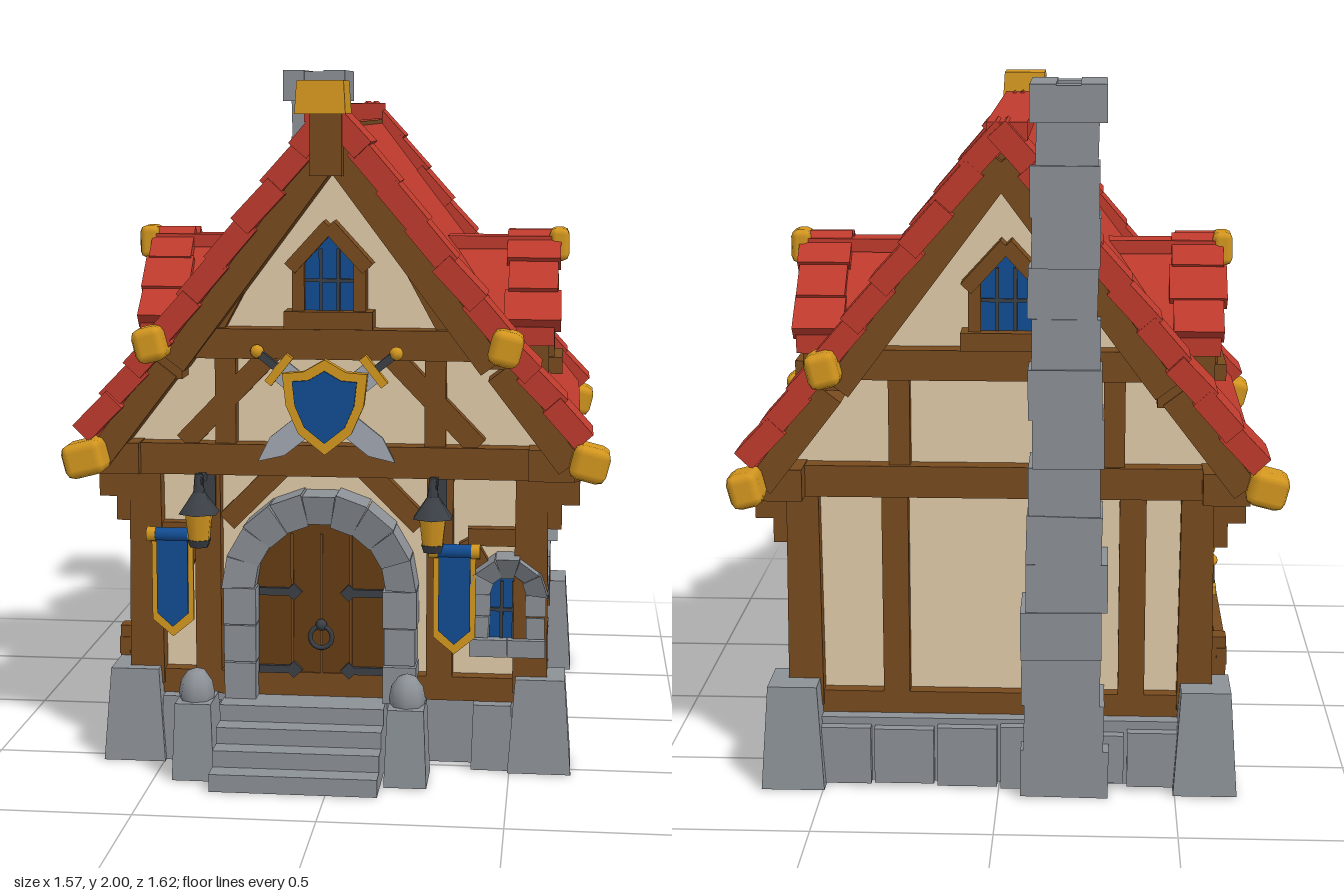
import * as THREE from 'three';
import { RoundedBoxGeometry } from 'three/addons/geometries/RoundedBoxGeometry.js';

const mat = (name, color) => Object.assign(new THREE.MeshStandardMaterial({ color }), { name });
const RED = mat('roof red', 0xbf3b2d), WOOD = mat('timber brown', 0x774a1e), DOOR = mat('door brown', 0x643c14),
  CREAM = mat('plaster cream', 0xe0cba9), STONE = mat('stone grey', 0x8c9197), BLUE = mat('blue', 0x124d94),
  GOLD = mat('gold', 0xd4971f), IRON = mat('dark iron', 0x3b4046), STEEL = mat('steel', 0xa3a9b2);

let seed = 7;
const rnd = (a) => { seed = (seed * 16807) % 2147483647; return (seed / 2147483647 - 0.5) * 2 * a; };

function add(p, name, geo, m, x = 0, y = 0, z = 0, rz = 0, rx = 0) {
  const o = new THREE.Mesh(geo, m);
  o.name = name;
  o.position.set(x, y, z);
  o.rotation.set(rx, 0, rz);
  p.add(o);
  return o;
}
function group(p, name, x = 0, y = 0, z = 0, ry = 0) {
  const g = new THREE.Group();
  g.name = name;
  g.position.set(x, y, z);
  g.rotation.y = ry;
  p.add(g);
  return g;
}
const box = (p, name, m, w, h, d, x, y, z, rz = 0, rx = 0) =>
  add(p, name, new THREE.BoxGeometry(w, h, d), m, x, y, z, rz, rx);

// Box whose top is narrowed
function taper(p, name, m, w, h, d, x, y, z, k, rz = 0) {
  const g = new THREE.BoxGeometry(w, h, d), a = g.attributes.position;
  for (let i = 0; i < a.count; i++) if (a.getY(i) > 0) { a.setX(i, a.getX(i) * k); a.setZ(i, a.getZ(i) * k); }
  g.computeVertexNormals();
  return add(p, name, g, m, x, y, z, rz);
}
// Beam between two points of an upright plane
function beam(p, name, m, x1, y1, x2, y2, w, z, d) {
  return box(p, name, m, Math.hypot(x2 - x1, y2 - y1), w, d, (x1 + x2) / 2, (y1 + y2) / 2, z, Math.atan2(y2 - y1, x2 - x1));
}
// Flat outline pushed along z
function plate(p, name, m, pts, depth, x, y, z) {
  const s = pts instanceof THREE.Shape ? pts : new THREE.Shape(pts.map(q => new THREE.Vector2(...q)));
  return add(p, name, new THREE.ExtrudeGeometry(s, { depth, bevelEnabled: false, curveSegments: 10 }), m, x, y, z);
}
function archShape(r, h) {
  const s = new THREE.Shape();
  s.moveTo(-r, 0); s.lineTo(r, 0); s.lineTo(r, h);
  s.absarc(0, h, r, 0, Math.PI);
  s.lineTo(-r, 0);
  return s;
}
// Stone surround: jamb blocks and a ring of wedge stones
function stoneArch(p, r, t, h, rows, n, d) {
  for (const s of [-1, 1]) for (let i = 0; i < rows; i++)
    box(p, 'jambStone', STONE, t + rnd(0.008), h / rows - 0.004, d + rnd(0.012), s * (r + t / 2), (i + 0.5) * h / rows, 0);
  for (let i = 0; i < n; i++) {
    const a = (i + 0.5) * Math.PI / n, R = r + t / 2;
    const w = 2 * r * Math.tan(Math.PI / 2 / n), k = (r + t) / r;
    taper(p, 'archStone', STONE, w, t + rnd(0.01), d + rnd(0.01), R * Math.cos(a), h + R * Math.sin(a), 0, k * 0.97, a - Math.PI / 2);
  }
}
function mullions(p, w, h, z) {
  for (const x of [-w / 6, w / 6]) box(p, 'mullion', IRON, 0.01, h, 0.008, x, h / 2, z);
  box(p, 'glazingBar', IRON, w, 0.01, 0.008, 0, h * 0.5, z);
}
function stoneWindow(p, x, y, z, ry, r, h) {
  const g = group(p, 'stoneWindow', x, y, z, ry);
  plate(g, 'windowPane', BLUE, archShape(r, h), 0.009, 0, 0, 0.012);
  mullions(g, 2 * r, h + r * 0.7, 0.025);
  stoneArch(g, r, 0.055, h, 2, 5, 0.08);
  for (const s of [-1, 1]) box(g, 'windowSill', STONE, r + 0.055, 0.05, 0.1, s * (r + 0.057) / 2, -0.025, 0.005);
}
// Timber window with a pointed head
function pointedWindow(p, x, y, z, ry, w, h) {
  const g = group(p, 'pointedWindow', x, y, z, ry), a = w / 2, e = 0.08;
  plate(g, 'windowPane', BLUE, [[-a, 0], [a, 0], [a, h - e], [0, h], [-a, h - e]], 0.009, 0, 0, 0.01);
  mullions(g, w, h - e / 2, 0.022);
  for (const s of [-1, 1]) {
    box(g, 'windowPost', WOOD, 0.035, h - e + 0.02, 0.06, s * (a + 0.012), (h - e) / 2, 0.01);
    beam(g, 'windowHead', WOOD, s * (a + 0.035), h - e - 0.015, 0, h + 0.025, 0.04, 0.015, 0.07);
  }
  box(g, 'windowSill', WOOD, w + 0.1, 0.05, 0.09, 0, -0.02, 0.02);
}

// Roof profile, ridge to eave
const PROFILE = [[0, 1.88], [0.48, 1.25], [0.7, 0.975]];
function chevron(pts, t) {
  const out = pts.map(([x, y]) => [x, y]), inn = pts.map(([x, y]) => [x, y - t]);
  const right = out.slice(1), left = right.map(([x, y]) => [-x, y]).reverse();
  const rIn = inn.slice(1).reverse(), lIn = inn.slice(1).map(([x, y]) => [-x, y]);
  return [...left, out[0], ...right, ...rIn, inn[0], ...lIn].reverse();
}

function buildRoof(house) {
  const g = group(house, 'roof', -0.01);
  plate(g, 'roofPanel', RED, chevron(PROFILE, 0.07), 1.2, 0, 0, -0.68);
  box(g, 'ridgeCap', RED, 0.11, 0.05, 1.28, -0.015, 1.868, -0.06);
  for (const s of [-1, 1]) PROFILE.slice(1).forEach(([x2, y2], k) => {
    const [x1, y1] = PROFILE[k], L = Math.hypot(x2 - x1, y2 - y1), n = k ? 3 : 6, ang = Math.atan2(y2 - y1, x2 - x1);
    // overlapping tiles on both gable edges
    for (const z of [0.495, -0.655]) for (let i = 0; i < n; i++) {
      const f = (i + 0.5) / n;
      box(g, 'edgeTile', RED, L / n + 0.02, 0.065, 0.17 + rnd(0.025), s * (x1 + (x2 - x1) * f), y1 + (y2 - y1) * f - 0.006, z, s * (ang + 0.08 + rnd(0.03)));
    }
    // barge boards under the tiles
    for (const z of [0.5, -0.66])
      beam(g, 'bargeBoard', WOOD, s * (x1 - 0.01), y1 - 0.1, s * (x2 - 0.03), y2 - 0.085, 0.075, z, 0.1);
  });
  // gold beam ends: x, y, z, size
  for (const [x, y, z, w] of [[-0.505, 1.225, 0.58, 0.09], [0.49, 1.225, 0.58, 0.09], [0.485, 1.225, -0.72, 0.09],
    [-0.7, 0.895, 0.57, 0.12], [0.725, 0.905, 0.56, 0.105], [-0.73, 0.895, -0.69, 0.11], [0.7, 0.895, -0.75, 0.09]])
    add(g, 'goldCap', new RoundedBoxGeometry(w, 0.1, 0.12, 1, 0.025), GOLD, x, y, z, Math.sign(x) * -0.25);
  for (const s of [-1, 1]) {
    box(g, 'eaveBeam', WOOD, 0.13, 0.09, 1.24, s * 0.62, 0.888, -0.08);
    box(g, 'purlin', WOOD, 0.08, 0.08, 1.25, s * 0.465, 1.18 + s * 0.02, -0.08);
  }
  taper(g, 'ridgeGoldCap', GOLD, 0.14, 0.09, 0.16, -0.02, 1.91, 0.555, 0.92);
  box(g, 'ridgePost', WOOD, 0.09, 0.17, 0.08, -0.01, 1.78, 0.55);
  box(g, 'ridgeBeam', WOOD, 0.08, 0.08, 1.2, 0, 1.8, -0.07);
  // side dormers
  for (const s of [-1, 1]) {
    const d = group(g, 'dormer', 0, 0, -0.06, s * Math.PI / 2);
    plate(d, 'dormerWall', CREAM, [[-0.19, 1.05], [0.19, 1.05], [0.19, 1.24], [0, 1.43], [-0.19, 1.24]], 0.4, 0, 0, 0.18);
    plate(d, 'dormerRoof', RED, chevron([[0, 1.49], [0.13, 1.37], [0.25, 1.24]], 0.055), 0.35, 0, 0, 0.27);
    box(d, 'dormerRidge', RED, 0.1, 0.04, 0.34, 0, 1.475, 0.45);
    for (const q of [-1, 1]) {
      box(d, 'dormerPost', WOOD, 0.05, 0.17, 0.07, q * 0.2, 1.175, 0.57);
      beam(d, 'dormerBarge', WOOD, q * 0.225, 1.2, 0, 1.42, 0.035, 0.585, 0.04);
      for (let i = 0; i < 3; i++)
        box(d, 'dormerTile', RED, 0.125, 0.05, 0.15 + rnd(0.02), q * (0.045 + i * 0.08), 1.455 - i * 0.085, 0.555, q * (-0.72 + rnd(0.05)));
    }
    add(d, 'dormerGoldCap', new RoundedBoxGeometry(0.11, 0.1, 0.06, 1, 0.02), GOLD, 0, 1.47, 0.63);
    pointedWindow(d, 0, 1.13, 0.58, 0, 0.13, 0.21);
  }
}

function buildFrame(house) {
  const g = group(house, 'timberFrame');
  plate(g, 'plasterWall', CREAM, [[-0.55, 0.15], [0.55, 0.15], [0.55, 0.86], [0.6, 0.95], [0.44, 1.18], [-0.01, 1.79], [-0.46, 1.18], [-0.62, 0.95], [-0.55, 0.86]], 1.03, 0, 0, -0.58);
  for (const z of [0.465, -0.59]) {
    const front = z > 0;
    box(g, 'tieBeam', WOOD, 1.28, 0.09, 0.09, -0.01, 0.885, z);
    box(g, 'collarBeam', WOOD, 0.86, 0.085, 0.11, -0.01, 1.22, z);
    box(g, 'sillBeam', WOOD, 1.1, 0.07, 0.06, 0, 0.225, z);
    for (const s of [-1, 1]) {
      taper(g, 'cornerPost', WOOD, 0.1, 0.62, 0.1, s * 0.555, 0.53, z - Math.sign(z) * 0.01, 0.9);
      box(g, 'innerPost', WOOD, 0.075, 0.64, 0.06, s * 0.335 - 0.04, 0.53, z);
      box(g, 'gablePost', WOOD, 0.06, 0.28, 0.06, s * 0.3 - 0.02, 1.06, z);
      for (let i = 0; i < 2; i++) box(g, 'corbel', WOOD, 0.08 + i * 0.05, 0.07, 0.11, s * (0.6 + i * 0.025), 0.735 + i * 0.07, z * 0.95);
      if (!front) continue;
      beam(g, 'gableBrace', WOOD, s * 0.42 - 0.02, 0.93, s * 0.17 - 0.02, 1.19, 0.06, z, 0.06);
      beam(g, 'gableStrut', WOOD, s * 0.33 - 0.02, 1.26, s * 0.2 - 0.02, 1.5, 0.05, z, 0.05);
      beam(g, 'cornerBrace', WOOD, s * 0.53, 0.38, s * 0.39 - 0.02, 0.66, 0.05, z, 0.04);
      beam(g, 'archBrace', WOOD, s * 0.28 - 0.04, 0.7, s * 0.12 - 0.04, 0.86, 0.06, z, 0.05);
      box(g, 'midRail', WOOD, 0.17, 0.05, 0.05, s * 0.46, 0.67, z);
    }
    pointedWindow(g, -0.02, 1.31, z + Math.sign(z) * 0.01, front ? 0 : Math.PI, 0.15, 0.22);
  }
  // long sides, the same on left and right
  for (const s of [-1, 1]) {
    box(g, 'sideSill', WOOD, 0.07, 0.08, 1.02, s * 0.55, 0.235, -0.06);
    box(g, 'sidePlate', WOOD, 0.07, 0.06, 1.04, s * 0.56, 0.83, -0.06);
    for (const q of [-1, 1])
      box(g, 'sideBrace', WOOD, 0.06, 0.19, 0.05, s * 0.56, 0.765, -0.065 + q * 0.43, 0, q * 0.8);
    stoneWindow(g, s * 0.55, 0.49, 0.17, s * Math.PI / 2, 0.06, 0.13);
    stoneWindow(g, s * 0.55, 0.49, -0.24, s * Math.PI / 2, 0.105, 0.1);
  }
  stoneWindow(g, 0.49, 0.38, 0.47, 0, 0.052, 0.13);
}

function buildStone(house) {
  const g = group(house, 'stonework');
  box(g, 'foundation', STONE, 1.16, 0.19, 1.15, 0, 0.1, -0.085);
  for (const s of [-1, 1]) {
    taper(g, 'frontCornerStone', STONE, 0.18, 0.27, 0.18, s * 0.585, 0.135, 0.47, 0.78);
    taper(g, 'backCornerStone', STONE, 0.18, 0.3, 0.2, s * 0.585, 0.15, -0.63, 0.78);
    for (let i = 0; i < 3; i++) {
      box(g, 'baseStone', STONE, 0.05, 0.17 + rnd(0.02), 0.3, s * 0.575, 0.09, 0.22 - i * 0.3);
      box(g, 'backBaseStone', STONE, 0.17, 0.16 + rnd(0.03), 0.06, s * (0.09 + i * 0.18), 0.09, -0.66);
    }
    taper(g, 'frontBaseStone', STONE, 0.12, 0.19, 0.12, s * 0.45, 0.095, 0.48, 0.9);
    // stair pillar with a rounded head
    const x = -0.085 + s * 0.3;
    taper(g, 'stairPillar', STONE, 0.12, 0.22, 0.16, x, 0.11, 0.64, 0.85);
    add(g, 'pillarHead', new THREE.SphereGeometry(0.052, 8, 6).scale(1, 1.4, 1.1), STONE, x, 0.235, 0.64);
    box(g, 'stairCheek', STONE, 0.09, 0.17, 0.14, x, 0.085, 0.53);
  }
  for (let i = 0; i < 4; i++) {
    const front = 0.805 - i * 0.065;
    box(g, 'step', STONE, 0.47, 0.05, front - 0.45, -0.09, 0.025 + i * 0.047, (front + 0.45) / 2);
  }
  // chimney of stacked blocks
  for (let i = 0; i < 14; i++) {
    const k = 1 - i / 14;
    box(g, 'chimneyBlock', STONE, 0.165 + k * 0.075 + rnd(0.012), 0.138, 0.18 + rnd(0.012), -0.185 + rnd(0.01), 0.07 + i * 0.137, -0.67 + rnd(0.008), rnd(0.03));
  }
  for (const s of [-1, 1]) {
    box(g, 'chimneyRimSide', STONE, 0.07, 0.1, 0.29, -0.19 + s * 0.067, 1.95, -0.665);
    box(g, 'chimneyRimEnd', STONE, 0.08, 0.096, 0.085, -0.19, 1.948, -0.665 + s * 0.1);
  }
}

function buildDoor(house) {
  const g = group(house, 'doorway', -0.045, 0.19, 0.49);
  plate(g, 'doorPanel', DOOR, archShape(0.19, 0.33), 0.03, 0, 0, -0.03);
  for (let i = -1; i <= 1; i++) box(g, 'plankSeam', WOOD, 0.008, 0.46, 0.008, i * 0.085, 0.25, 0.002);
  stoneArch(g, 0.185, 0.09, 0.33, 3, 9, 0.11);
  for (const s of [-1, 1]) for (const y of [0.08, 0.31]) {
    box(g, 'hinge', IRON, 0.1, 0.022, 0.012, s * 0.13, y, 0.008);
    box(g, 'hingeTip', IRON, 0.035, 0.035, 0.012, s * 0.08, y, 0.008, Math.PI / 4);
  }
  add(g, 'doorRing', new THREE.TorusGeometry(0.032, 0.007, 6, 14), IRON, 0, 0.18, 0.016);
  add(g, 'ringBoss', new THREE.SphereGeometry(0.017, 8, 6), IRON, 0, 0.215, 0.012);
}

function sword(p, x, y, z, rz, len, w) {
  const g = group(p, 'sword', x, y, z);
  g.rotation.z = rz;
  plate(g, 'blade', STEEL, [[-w, 0], [-w, -len + 0.07], [0, -len], [w, -len + 0.07], [w, 0]], 0.012, 0, 0, -0.006);
  box(g, 'crossGuard', GOLD, 0.1, 0.024, 0.028, 0, 0, 0);
  box(g, 'grip', IRON, 0.022, 0.06, 0.022, 0, 0.04, 0);
  add(g, 'pommel', new THREE.SphereGeometry(0.02, 8, 6), GOLD, 0, 0.08, 0);
}

function buildOrnaments(house) {
  const g = group(house, 'ornaments');
  const shield = (k) => [[0, -0.14], [0.075, -0.08], [0.11, 0], [0.12, 0.09], [0.06, 0.095], [0, 0.13], [-0.06, 0.095], [-0.12, 0.09], [-0.11, 0], [-0.075, -0.08]].map(([x, y]) => [x * k, y * k]);
  plate(g, 'shieldRim', GOLD, shield(1), 0.03, -0.025, 1.055, 0.55);
  plate(g, 'shieldFace', BLUE, shield(0.76), 0.008, -0.025, 1.055, 0.58);
  for (const s of [-1, 1]) sword(g, -0.025 + s * 0.135, 1.15, 0.535 + s * 0.007, -s * 0.9, 0.42, 0.033);
  // hanging banners
  for (const [x, y] of [[-0.47, 0.67], [0.34, 0.64]]) {
    plate(g, 'bannerBorder', GOLD, [[-0.06, 0], [-0.06, -0.25], [0, -0.3], [0.06, -0.25], [0.06, 0]], 0.012, x, y, 0.53);
    plate(g, 'bannerCloth', BLUE, [[-0.045, 0], [-0.045, -0.23], [0, -0.27], [0.045, -0.23], [0.045, 0]], 0.008, x, y, 0.542);
    add(g, 'bannerRoll', new THREE.CylinderGeometry(0.02, 0.02, 0.1, 8), BLUE, x, y, 0.54, Math.PI / 2);
    for (const s of [-1, 1]) add(g, 'rodEnd', new THREE.CylinderGeometry(0.022, 0.022, 0.025, 8), GOLD, x + s * 0.06, y, 0.54, Math.PI / 2);
  }
  // lanterns on brackets
  for (const x of [-0.385, 0.28]) {
    const l = group(g, 'lantern', x, 0, 0.575);
    box(l, 'bracket', IRON, 0.022, 0.022, 0.11, 0, 0.835, -0.045);
    box(l, 'bracketPlate', IRON, 0.05, 0.14, 0.02, 0.01, 0.79, -0.08);
    add(l, 'lanternHook', new THREE.CylinderGeometry(0.012, 0.018, 0.06, 6), IRON, 0, 0.825, 0);
    add(l, 'lanternRoof', new THREE.CylinderGeometry(0.018, 0.062, 0.06, 6), IRON, 0, 0.772, 0);
    add(l, 'lanternGlass', new THREE.CylinderGeometry(0.043, 0.032, 0.085, 6), GOLD, 0, 0.705, 0);
    add(l, 'lanternBase', new THREE.CylinderGeometry(0.036, 0.028, 0.022, 6), IRON, 0, 0.655, 0);
  }
  // weapon rack along the right wall
  const r = group(g, 'weaponRack', -0.61, 0, 0, -Math.PI / 2);
  for (const s of [-1, 1]) box(r, 'rackPost', WOOD, 0.055, 0.36, 0.055, s * 0.37, 0.18, 0.02);
  for (const y of [0.13, 0.3]) box(r, 'rackRail', WOOD, 0.8, 0.05, 0.03, 0, y, 0.035);
  for (let i = 0; i < 4; i++) sword(r, -0.28 + i * 0.12, 0.45 + rnd(0.04), 0.005, rnd(0.08), 0.36, 0.025);
  for (const [x, h] of [[0.18, 0.62], [0.27, 0.5]]) {
    add(r, 'spearShaft', new THREE.CylinderGeometry(0.012, 0.012, h, 6), WOOD, x, h / 2 + 0.06, 0);
    add(r, 'spearHead', new THREE.ConeGeometry(0.03, 0.12, 4), STEEL, x, h + 0.11, 0);
  }
}

export function createModel() {
  const house = new THREE.Group();
  house.name = 'cottage';
  buildStone(house);
  buildFrame(house);
  buildRoof(house);
  buildDoor(house);
  buildOrnaments(house);
  return house;
}
